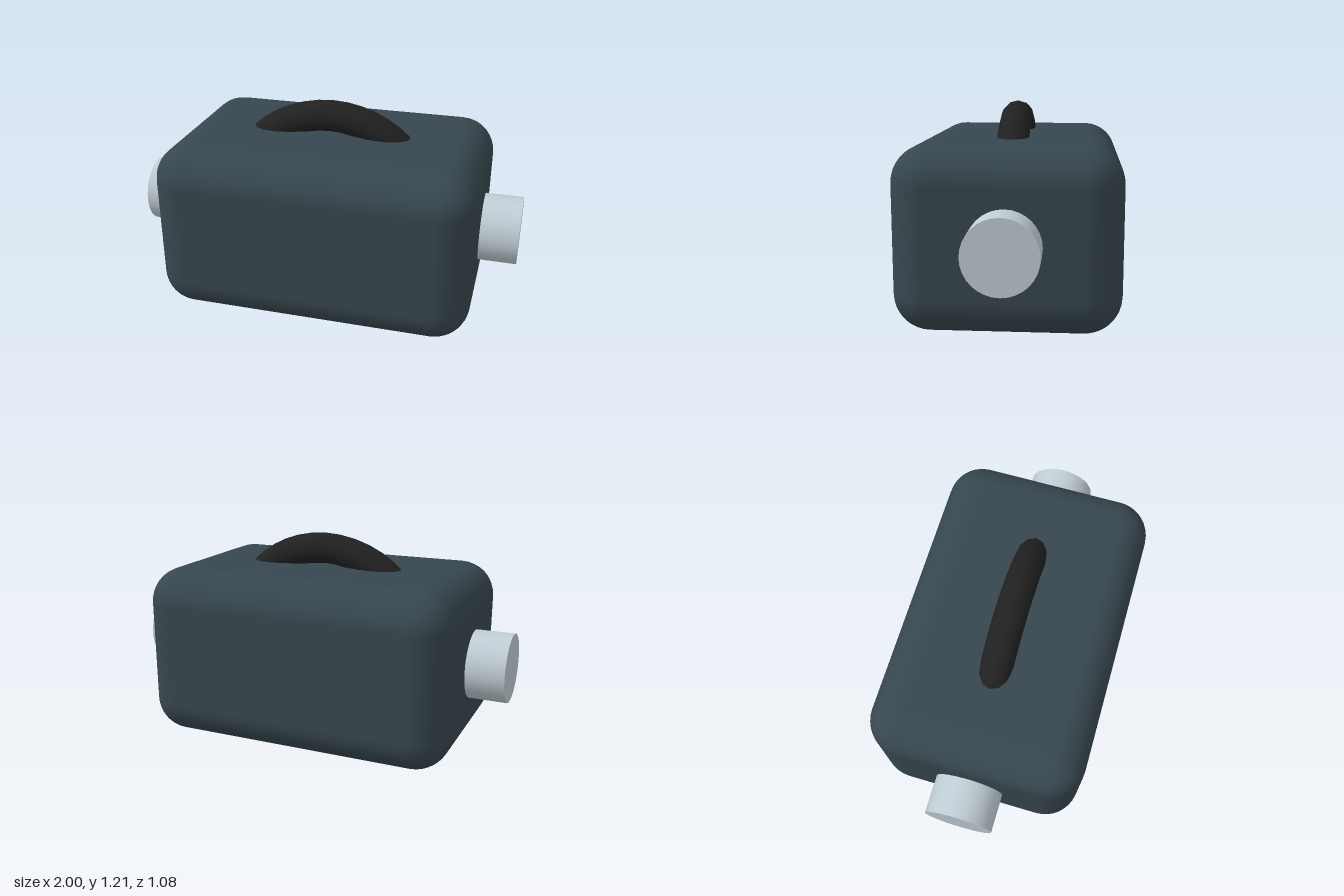
import * as THREE from 'three';
import { RoundedBoxGeometry } from 'three/addons/geometries/RoundedBoxGeometry.js';

const CENTER_Y = 0.607;

export function createModel() {
  const group = new THREE.Group();

  const add = (name, geometry, color) => {
    const mesh = new THREE.Mesh(geometry, new THREE.MeshStandardMaterial({ color }));
    mesh.name = name;
    mesh.position.y = CENTER_Y;
    group.add(mesh);
    return mesh;
  };

  // Rounded housing
  add('housing', new RoundedBoxGeometry(1.614, 0.88, 1.076, 5, 0.18), 0x37474f);

  // Upright ring passing through the housing, showing above and below it
  add('ring', new THREE.TorusGeometry(0.525, 0.08, 12, 48), 0x212121);

  // Shaft running through both ends
  add('shaft', new THREE.CylinderGeometry(0.173, 0.173, 2, 32), 0xc0cdd4).rotation.z = Math.PI / 2;

  return group;
}
